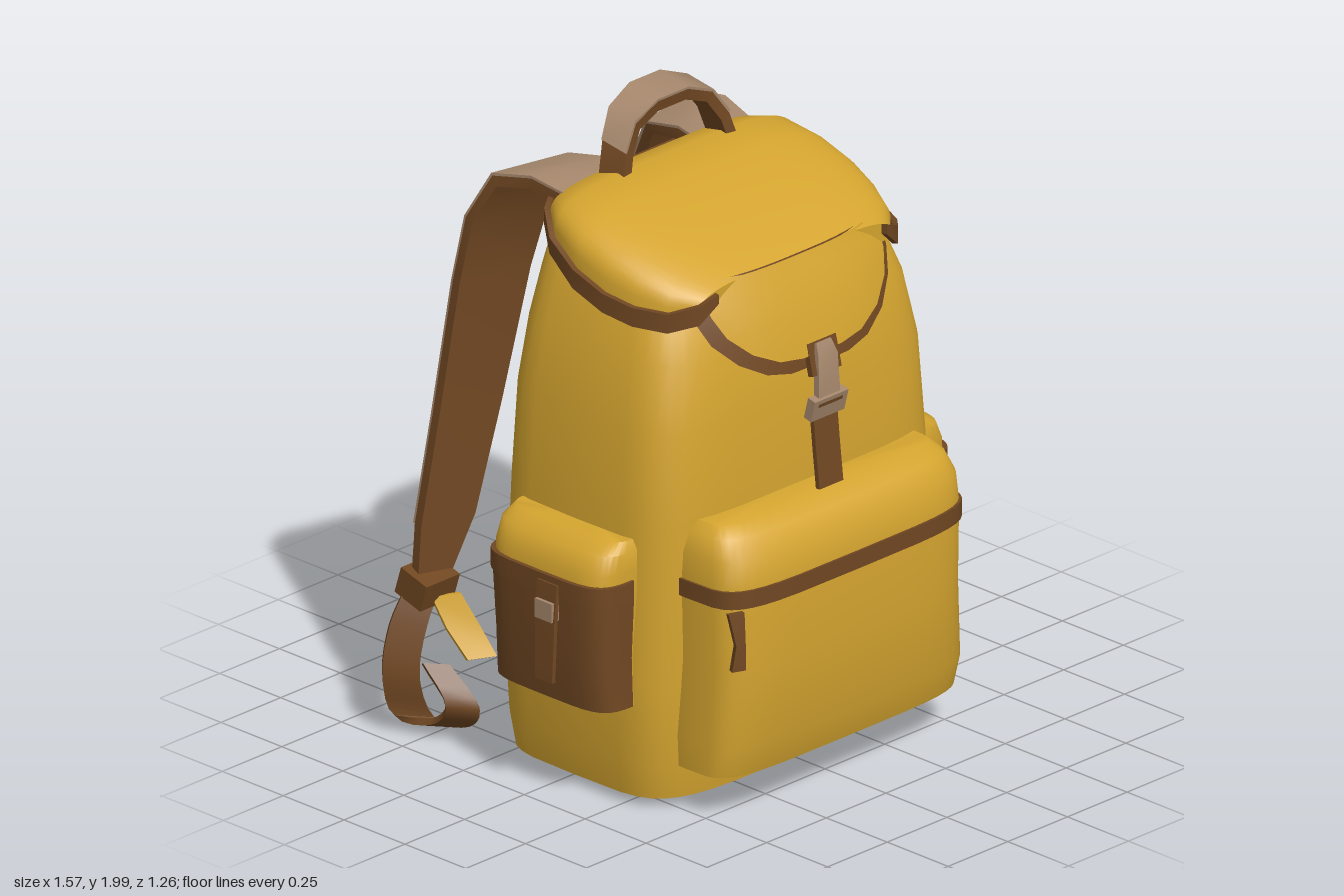
import * as THREE from 'three';
import { toCreasedNormals } from 'three/addons/utils/BufferGeometryUtils.js';

const mat = (name, color, side = THREE.FrontSide) => Object.assign(new THREE.MeshStandardMaterial({ color, side }), { name });
const V = (x, y, z) => new THREE.Vector3(x, y, z);
const spow = (v, e) => Math.sign(v) * Math.pow(Math.abs(v), e);

// Closed skin over a stack of rings, wound so that it faces outward
function loft(rings, crease = 0.7) {
  const n = rings[0].length, pts = rings.flat(), tris = [];
  for (let i = 0; i < rings.length - 1; i++) for (let j = 0; j < n; j++) {
    const a = i * n + j, b = i * n + (j + 1) % n;
    tris.push([a, b, b + n], [a, b + n, a + n]);
  }
  [0, rings.length - 1].forEach((r, k) => {
    const c = pts.length;
    pts.push(rings[r].reduce((s, p) => s.add(p), V(0, 0, 0)).divideScalar(n));
    for (let j = 0; j < n; j++) {
      const a = r * n + j, b = r * n + (j + 1) % n;
      tris.push(k ? [c, a, b] : [c, b, a]);
    }
  });
  const o = pts[0], rel = pts.map(p => p.clone().sub(o));
  const volume = tris.reduce((s, [a, b, c]) => s + rel[a].dot(rel[b].clone().cross(rel[c])), 0);
  const geo = new THREE.BufferGeometry().setFromPoints(pts);
  geo.setIndex(tris.flatMap(([a, b, c]) => volume < 0 ? [a, c, b] : [a, b, c]));
  return toCreasedNormals(geo, crease);
}

// Horizontal rounded section
function section(y, hx, hz, cx, cz, e = 0.42, minX = -9) {
  return Array.from({ length: 36 }, (_, i) => {
    const a = i / 36 * Math.PI * 2;
    return V(Math.max(minX, cx + hx * spow(Math.cos(a), e)), y, cz - hz * spow(Math.sin(a), e));
  });
}

// Flat band along a path; points are [x, y, z, width], dir is the width direction
function band(points, dir, thick, offset = 0, steps = 0) {
  let path = points.map(p => V(p[0], p[1], p[2])), widths = points.map(p => p[3]);
  if (steps) {
    const curve = new THREE.CatmullRomCurve3(path), src = widths;
    path = curve.getPoints(steps);
    widths = path.map((_, i) => {
      const t = i / steps * (src.length - 1), k = Math.min(Math.floor(t), src.length - 2);
      return THREE.MathUtils.lerp(src[k], src[k + 1], t - k);
    });
  }
  const d = V(...dir).normalize();
  return loft(path.map((p, i) => {
    const t = path[Math.min(i + 1, path.length - 1)].clone().sub(path[Math.max(i - 1, 0)]).normalize();
    const n = d.clone().cross(t).normalize();
    return [[1, 1], [1, -1], [-1, -1], [-1, 1]].map(([u, v]) =>
      p.clone().addScaledVector(d, u * widths[i] / 2).addScaledVector(n, offset + v * thick / 2));
  }), 0.6);
}

function box(w, h, d, x, y, z, rx = 0) {
  return new THREE.BoxGeometry(w, h, d).toNonIndexed().rotateX(rx).translate(x, y, z);
}

// Mirror copy across x with the winding restored
function mirrored(geo) {
  const g = geo.clone().scale(-1, 1, 1);
  for (const at of Object.values(g.attributes)) {
    const s = at.itemSize, arr = at.array;
    for (let i = 0; i < at.count; i += 3) for (let k = 0; k < s; k++) {
      const p = (i + 1) * s + k, q = (i + 2) * s + k;
      [arr[p], arr[q]] = [arr[q], arr[p]];
    }
  }
  return g;
}

export function createModel() {
  const model = new THREE.Group();
  model.name = 'backpack';
  const canvas = mat('yellow canvas', 0xd4a42f);
  const canvasSheet = mat('yellow canvas', 0xd4a42f, THREE.DoubleSide);
  canvasSheet.name = 'yellow canvas sheet';
  const leather = mat('brown leather', 0x704722, THREE.DoubleSide);
  const webbing = mat('taupe webbing', 0xa5876c);
  const add = (name, geo, m) => {
    const mesh = new THREE.Mesh(geo, m);
    mesh.name = name;
    model.add(mesh);
  };
  const pair = (name, geo, m) => {
    add(name + 'Left', geo, m);
    add(name + 'Right', mirrored(geo), m);
  };

  // Main bag: height, half width, back z, front z
  const body = [
    [0.01, 0.53, -0.28, 0.36], [0.04, 0.59, -0.31, 0.42], [0.15, 0.61, -0.32, 0.435], [0.4, 0.615, -0.335, 0.44],
    [0.9, 0.6, -0.32, 0.445], [1.2, 0.58, -0.31, 0.43], [1.4, 0.54, -0.295, 0.4], [1.55, 0.49, -0.28, 0.35],
    [1.66, 0.44, -0.27, 0.27], [1.73, 0.38, -0.255, 0.1]];
  add('body', loft(body.map(([y, w, b, f]) => section(y, w, (f - b) / 2, 0, (f + b) / 2, 0.4))), canvas);

  // Lid: z, half width, side height, crown height
  const lid = [
    [-0.26, 0.36, 1.7, 1.745], [-0.2, 0.44, 1.69, 1.785], [-0.12, 0.5, 1.65, 1.805], [0, 0.53, 1.6, 1.78],
    [0.12, 0.53, 1.56, 1.745], [0.22, 0.51, 1.54, 1.705], [0.31, 0.47, 1.53, 1.665], [0.38, 0.4, 1.55, 1.625]];
  add('lid', loft(lid.map(([z, w, b, t]) => Array.from({ length: 25 }, (_, i) => {
    const a = i / 24 * Math.PI;
    return V(w * spow(Math.cos(a), 0.5), b + (t - b) * spow(Math.max(0, Math.sin(a)), 0.5), z);
  }))), canvas);
  pair('lidTrim', band([[0.36, 1.72, -0.262, 0.05], [0.45, 1.71, -0.2, 0.05], [0.51, 1.66, -0.12, 0.05],
    [0.538, 1.6, 0, 0.06], [0.538, 1.56, 0.12, 0.06], [0.518, 1.54, 0.22, 0.06], [0.475, 1.535, 0.32, 0.06],
    [0.41, 1.56, 0.385, 0.06], [0.35, 1.6, 0.4, 0.03]], [0, 1, 0], 0.018), leather);
  add('lidBackTrim', band([[-0.37, 1.72, -0.263, 0.05], [0.37, 1.72, -0.263, 0.05]], [0, 1, 0], 0.018), leather);

  // Front tongue: height, half width, z at the centre
  const tongue = [[1.63, 0.33, 0.385], [1.58, 0.41, 0.405], [1.52, 0.4, 0.43], [1.45, 0.37, 0.452],
    [1.38, 0.3, 0.47], [1.33, 0.21, 0.48], [1.31, 0.12, 0.483]];
  const sheet = (inset, lift) => {
    const pos = [], idx = [], n = 12;
    tongue.forEach(([y, w, z], r) => {
      for (let i = 0; i <= n; i++) {
        const x = (w - inset) * (i / n * 2 - 1);
        pos.push(x, y + inset * r / 6, z + lift - 1.1 * Math.abs(x) ** 3);
        if (r && i) {
          const b = r * (n + 1) + i, a = b - n - 1;
          idx.push(a - 1, b - 1, b, a - 1, b, a);
        }
      }
    });
    const g = new THREE.BufferGeometry();
    g.setAttribute('position', new THREE.Float32BufferAttribute(pos, 3));
    g.setIndex(idx);
    g.computeVertexNormals();
    return g;
  };
  add('tongueTrim', sheet(0, 0), leather);
  add('tongue', sheet(0.04, 0.009), canvasSheet);

  // Closing strap and buckle
  add('closingStrap', band([[0, 0.92, 0.52, 0.1], [0, 1.05, 0.505, 0.1], [0, 1.2, 0.49, 0.1]], [1, 0, 0], 0.015), leather);
  add('tongueTab', box(0.12, 0.1, 0.02, 0, 1.335, 0.488, -0.25), leather);
  add('buckleTongue', band([[0, 1.38, 0.485, 0.06], [0, 1.34, 0.503, 0.08], [0, 1.2, 0.51, 0.09]], [1, 0, 0], 0.02), webbing);
  add('buckleBar', box(0.14, 0.07, 0.03, 0, 1.185, 0.505, 0.25), webbing);
  add('buckleSlot', box(0.1, 0.012, 0.034, 0, 1.2, 0.507, 0.25), leather);

  // Front pocket: height, half width, depth from the body
  const pocket = [[0.115, 0.4, 0.1], [0.15, 0.51, 0.17], [0.25, 0.515, 0.2], [0.5, 0.5, 0.207], [0.75, 0.505, 0.207],
    [0.84, 0.5, 0.195], [0.9, 0.48, 0.155], [0.93, 0.45, 0.1]];
  add('frontPocket', loft(pocket.map(([y, w, d]) => section(y, w, d, 0, 0.43))), canvas);
  add('frontPocketZip', loft([0.7, 0.755].map(y => section(y, 0.512, 0.214, 0, 0.43))), leather);
  add('zipPull', band([[-0.49, 0.7, 0.612, 0.05], [-0.485, 0.6, 0.625, 0.03], [-0.49, 0.52, 0.622, 0.045]], [1, 0, 0.4], 0.02), leather);

  // Side pockets: height, half width in x, half width in z
  const side = [[0.32, 0.1, 0.2], [0.345, 0.165, 0.238], [0.5, 0.18, 0.232], [0.7, 0.188, 0.242],
    [0.78, 0.185, 0.242], [0.84, 0.155, 0.24], [0.87, 0.1, 0.225]];
  pair('sidePocket', loft(side.map(([y, w, d]) => section(y, w, d, 0.56, 0.065))), canvas);
  const panel = [...side.slice(1, 4), [0.75, 0.188, 0.242]];
  pair('sidePocketPanel', loft(panel.map(([y, w, d]) => section(y, w + 0.007, d + 0.007, 0.56, 0.065, 0.42, 0.61))), leather);
  pair('sidePocketBand', loft([0.69, 0.75].map(y => section(y, 0.2, 0.253, 0.56, 0.065, 0.42, 0.62))), leather);
  pair('sidePocketStrap', band([[0.76, 0.73, 0.11, 0.08], [0.77, 0.62, 0.11, 0.08], [0.775, 0.42, 0.11, 0.07]], [0, 0, 1], 0.014), leather);
  pair('sidePocketBuckle', box(0.03, 0.06, 0.07, 0.768, 0.645, 0.11), webbing);

  // Shoulder straps: leather underside with a webbing face on the outside
  const shoulder = [[0.27, 1.74, -0.17, 0.24], [0.28, 1.765, -0.28, 0.26], [0.295, 1.74, -0.41, 0.27], [0.325, 1.6, -0.485, 0.27],
    [0.36, 1.4, -0.515, 0.25], [0.44, 1.0, -0.535, 0.22], [0.53, 0.66, -0.54, 0.19], [0.58, 0.5, -0.545, 0.12]];
  const tilt = [1, 0, -0.22];
  pair('shoulderStrap', band(shoulder, tilt, 0.035), leather);
  pair('shoulderStrapFace', band(shoulder.slice(0, 7), tilt, 0.009, 0.022), webbing);

  // Adjuster and dangling webbing loop
  pair('strapAdjuster', box(0.14, 0.09, 0.11, 0.595, 0.47, -0.55, 0.3), leather);
  pair('strapLoop', band([[0.6, 0.47, -0.555, 0.1], [0.66, 0.35, -0.565, 0.11], [0.69, 0.2, -0.565, 0.11], [0.65, 0.06, -0.55, 0.12],
    [0.61, 0.06, -0.44, 0.11], [0.62, 0.13, -0.38, 0.1], [0.63, 0.24, -0.48, 0.08]], [0.75, 0.1, -0.65], 0.02, 0, 24), leather);
  pair('strapTab', band([[0.57, 0.44, -0.5, 0.09], [0.54, 0.34, -0.46, 0.1], [0.52, 0.25, -0.4, 0.09]], [1, 0, -0.5], 0.02), canvas);

  // Carry handle
  const handle = [[-0.23, 1.76, -0.14, 0.1], [-0.2, 1.86, -0.155, 0.1], [-0.15, 1.935, -0.175, 0.11], [-0.06, 1.97, -0.185, 0.12],
    [0.06, 1.97, -0.185, 0.12], [0.15, 1.935, -0.175, 0.11], [0.2, 1.86, -0.155, 0.1], [0.23, 1.76, -0.14, 0.1]];
  add('handle', band(handle, [0, 0.15, -1].map(v => -v), 0.035), leather);
  add('handleFace', band(handle.slice(1, 7), [0, -0.15, 1], 0.009, 0.021), webbing);
  return model;
}
